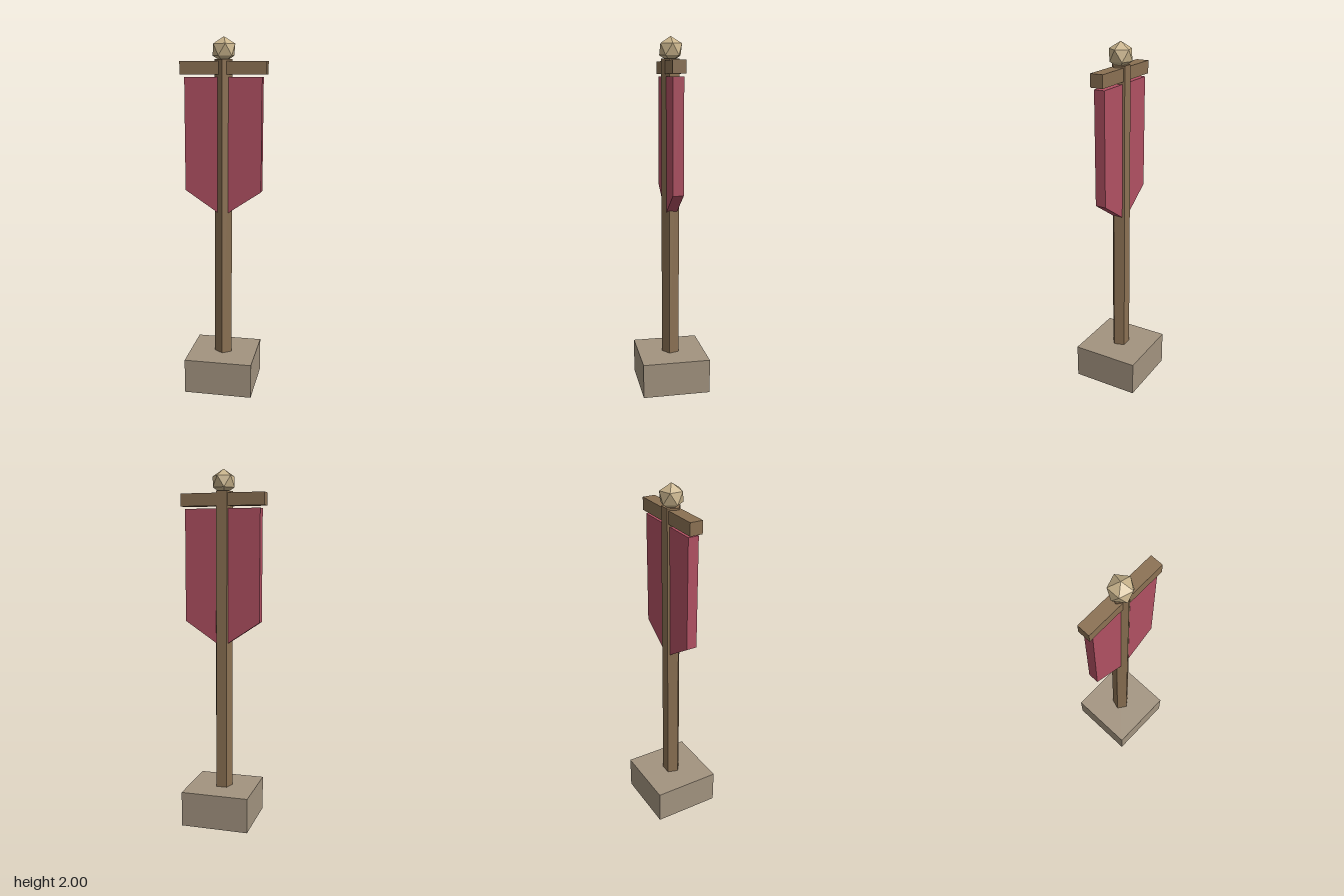
import * as THREE from 'three';

const paint = (color) => new THREE.MeshStandardMaterial({ color, flatShading: true });

export function createModel() {
  const model = new THREE.Group();
  const wood = paint(0x8b7153);
  const stone = paint(0xa2937f);
  const cloth = paint(0xb05062);
  const brass = paint(0xc9b48c);

  const add = (name, geometry, material, y) => {
    const mesh = new THREE.Mesh(geometry, material);
    mesh.name = name;
    mesh.position.y = y;
    model.add(mesh);
    return mesh;
  };

  // Square stone foot
  add('base', new THREE.BoxGeometry(0.384, 0.197, 0.384), stone, 0.0985);

  // Five-sided pole with one edge facing the front
  add('pole', new THREE.CylinderGeometry(0.052, 0.052, 1.69, 5), wood, 1.035);

  // Bar that carries the cloth
  add('crossbar', new THREE.BoxGeometry(0.48, 0.07, 0.072), wood, 1.835);

  // Thick banner with a pointed lower edge
  const outline = new THREE.Shape([
    new THREE.Vector2(-0.215, 1.786),
    new THREE.Vector2(-0.215, 1.16),
    new THREE.Vector2(0, 1.016),
    new THREE.Vector2(0.215, 1.16),
    new THREE.Vector2(0.215, 1.786),
  ]);
  const bannerGeometry = new THREE.ExtrudeGeometry(outline, { depth: 0.06, bevelEnabled: false });
  bannerGeometry.translate(0, 0, -0.03);
  add('banner', bannerGeometry, cloth, 0);

  // Faceted knob, turned so that one corner points straight up
  const knob = new THREE.IcosahedronGeometry(0.07, 0);
  knob.rotateZ(-Math.atan(2 / (1 + Math.sqrt(5))));
  add('finial', knob, brass, 1.93);

  return model;
}
